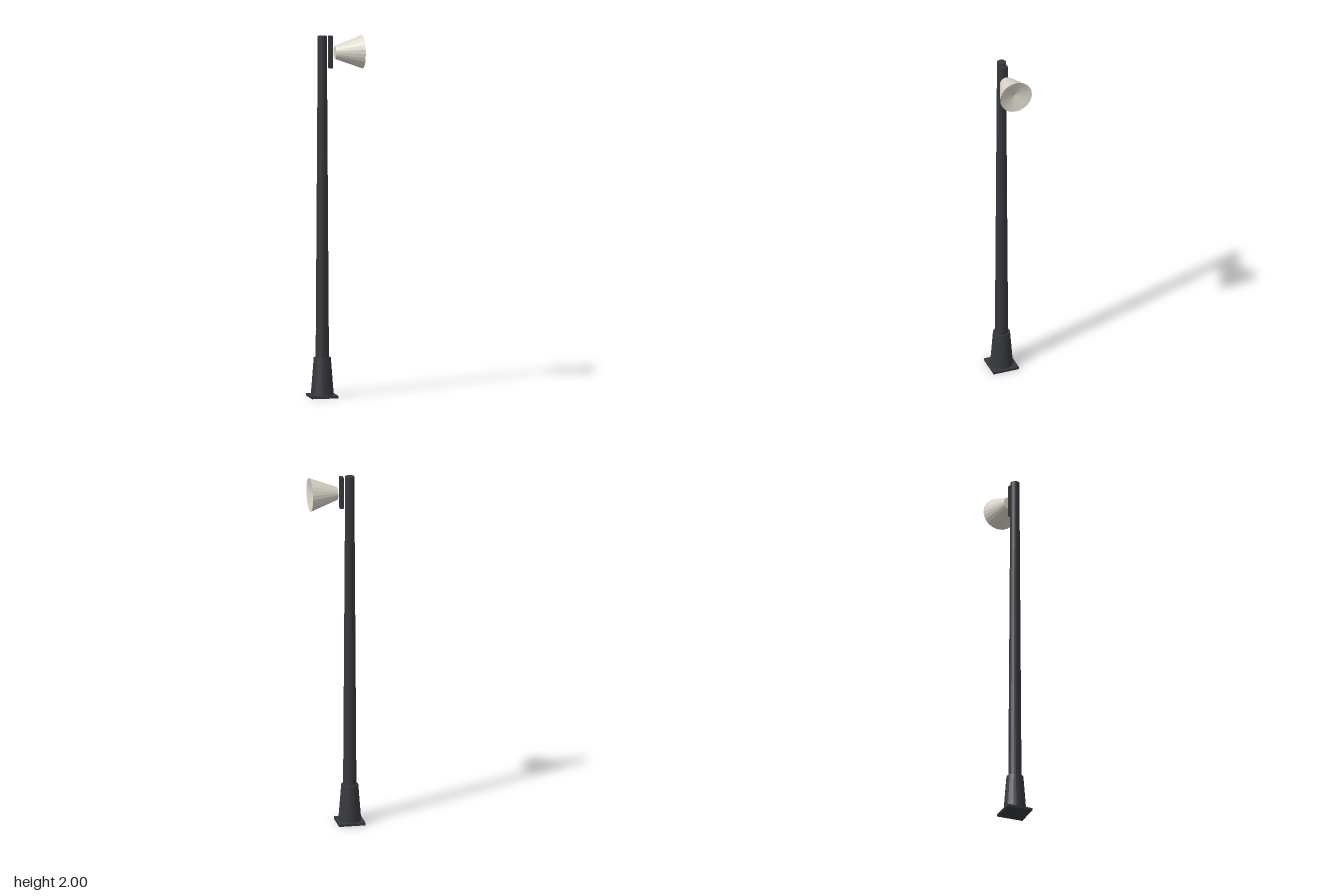
import * as THREE from 'three';

const SIDES = 24;
const POLE_X = -0.075;

export function createModel() {
  const group = new THREE.Group();
  const dark = new THREE.MeshStandardMaterial({ color: 0x36383c, flatShading: true });
  const cream = new THREE.MeshStandardMaterial({ color: 0xd9d5c9, flatShading: true });

  const add = (name, geometry, material, x, y) => {
    const mesh = new THREE.Mesh(geometry, material);
    mesh.name = name;
    mesh.position.set(x, y, 0);
    group.add(mesh);
    return mesh;
  };
  // Tapered round column standing between two heights
  const column = (name, rTop, rBottom, y0, y1) =>
    add(name, new THREE.CylinderGeometry(rTop, rBottom, y1 - y0, SIDES), dark, POLE_X, (y0 + y1) / 2);

  // Foot and post
  add('basePlate', new THREE.BoxGeometry(0.148, 0.014, 0.148), dark, POLE_X, 0.007);
  column('baseCollar', 0.047, 0.063, 0.014, 0.22);
  column('pole', 0.025, 0.038, 0.014, 2.0);

  // Upright mounting bar beside the pole head
  add('bracket', new THREE.BoxGeometry(0.021, 0.178, 0.034), dark, -0.028, 1.91);

  // Flared horn with closed throat and a shallow dished mouth, turned to face +x
  const profile = [[0, 0], [0.036, 0], [0.093, 0.153], [0, 0.128]]
    .map(([r, h]) => new THREE.Vector2(r, h));
  const horn = add('horn', new THREE.LatheGeometry(profile, SIDES), cream, -0.004, 1.907);
  horn.rotation.z = -Math.PI / 2;

  return group;
}
